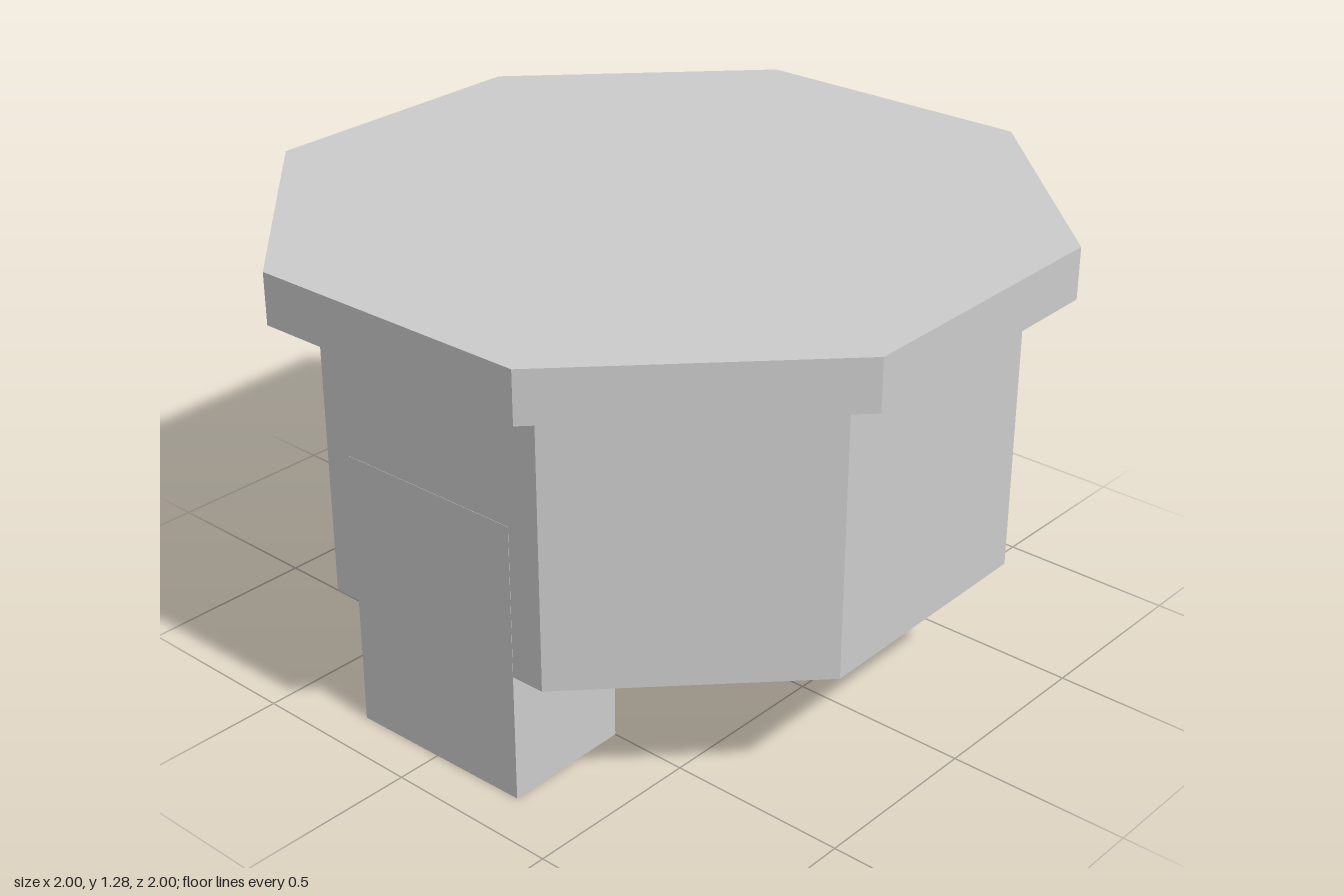
import * as THREE from 'three';

const SIDES = 8;
const START = Math.PI / SIDES; // puts a flat side towards the front
const BODY_R = 0.945, LID_R = 1.073;
const BODY_Y = 0.36, LID_Y = 1.14, TOP_Y = 1.28;

export function createModel() {
  const model = new THREE.Group();
  model.name = 'octagonalTub';
  // All surfaces are thin, open shells
  const material = new THREE.MeshStandardMaterial({
    color: 0xcccccc, flatShading: true, side: THREE.DoubleSide,
  });

  const add = (name, geometry, y, parent = model) => {
    const mesh = new THREE.Mesh(geometry, material);
    mesh.name = name;
    mesh.position.y = y;
    parent.add(mesh);
    return mesh;
  };
  // Open eight-sided wall between two heights
  const wall = (name, radius, y0, y1, parent) => add(name,
    new THREE.CylinderGeometry(radius, radius, y1 - y0, SIDES, 1, true, START),
    (y0 + y1) / 2, parent);

  // Body: hollow wall, open below
  wall('body', BODY_R, BODY_Y, LID_Y, model);

  // Lid: rim wall, closed top, and an underside ring around the body opening
  const lid = new THREE.Group();
  lid.name = 'lid';
  model.add(lid);
  wall('lidRim', LID_R, LID_Y, TOP_Y, lid);
  add('lidTop', new THREE.CircleGeometry(LID_R, SIDES, START).rotateX(-Math.PI / 2), TOP_Y, lid);
  add('lidUnderside',
    new THREE.RingGeometry(BODY_R, LID_R, SIDES, 1, START).rotateX(Math.PI / 2), LID_Y, lid);

  // Front leg: box without its bottom face, flush with the front wall
  const legHeight = 0.78, legBack = 0.505, legFront = 0.874;
  const legGeometry = new THREE.BoxGeometry(0.548, legHeight, legFront - legBack);
  const index = Array.from(legGeometry.index.array);
  index.splice(18, 6); // bottom
  legGeometry.setIndex(index);
  legGeometry.clearGroups();
  const leg = add('frontLeg', legGeometry, legHeight / 2);
  leg.position.x = -0.008;
  leg.position.z = (legBack + legFront) / 2;

  // Slight twist of the whole piece
  model.rotation.y = THREE.MathUtils.degToRad(1.1);
  const root = new THREE.Group();
  root.add(model);
  return root;
}
